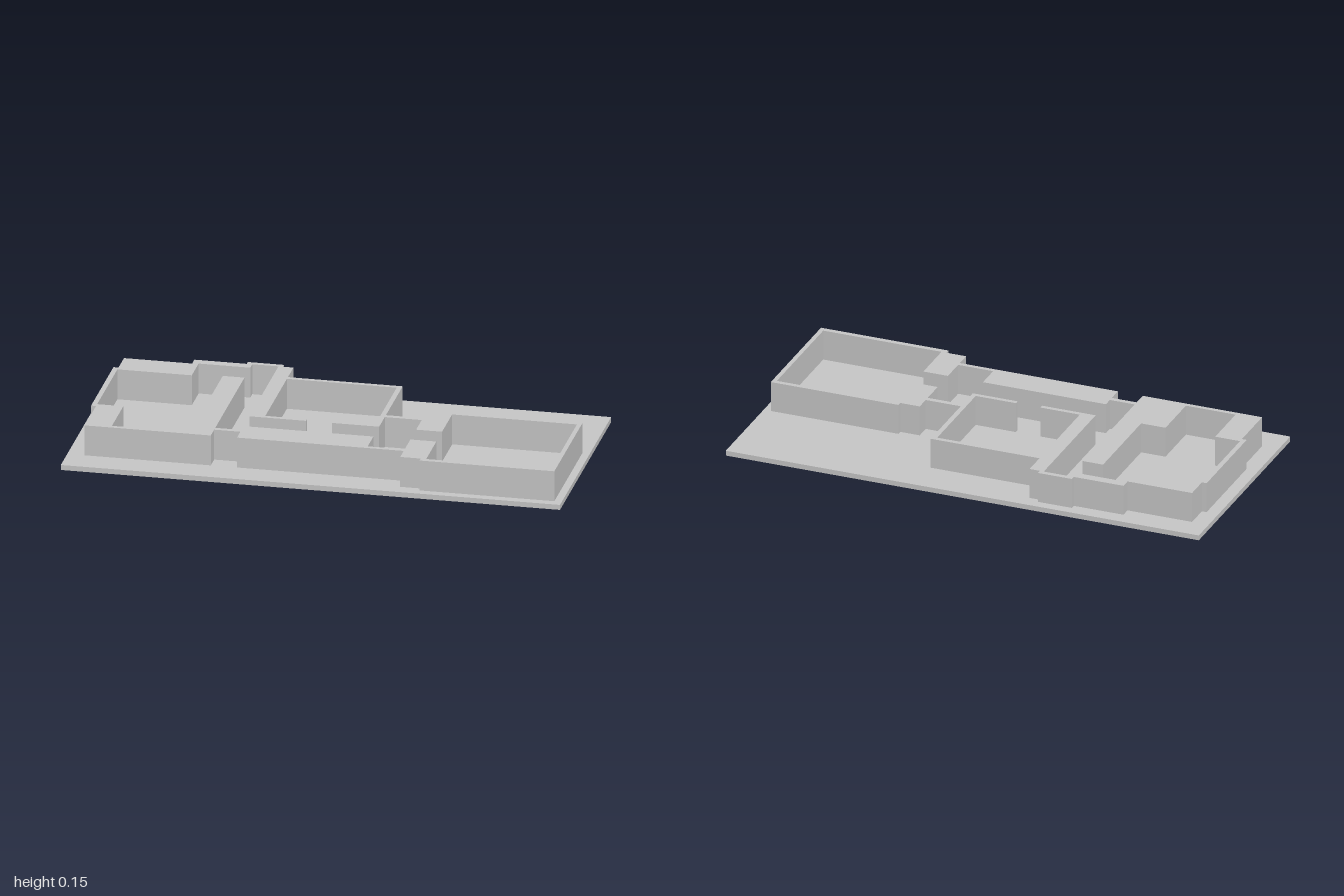
import * as THREE from 'three';

const BASE_HEIGHT = 0.021;
const WALL_TOP = 0.147;

// Corners are given as [x, z], clockwise seen from above
const OUTER = [
  [-0.93, -0.373], [-0.657, -0.373], [-0.657, -0.415], [-0.447, -0.415], [-0.447, -0.435],
  [-0.303, -0.435], [-0.303, -0.415], [-0.26, -0.415], [-0.26, -0.312], [0.2, -0.312],
  [0.2, 0], [0.348, 0], [0.348, -0.062], [0.43, -0.062], [0.43, -0.081],
  [0.97, -0.081], [0.97, 0.441], [0.43, 0.441], [0.43, 0.42], [0.348, 0.42],
  [0.348, 0.355], [-0.32, 0.355], [-0.32, 0.292], [-0.425, 0.292], [-0.425, 0.355],
  [-0.93, 0.355], [-0.93, 0.145], [-0.95, 0.145], [-0.95, -0.271], [-0.93, -0.271],
];

// Joined rooms and corridors
const INNER = [
  // left room and back recess
  [-0.93, -0.251], [-0.632, -0.251], [-0.632, -0.378], [-0.425, -0.378], [-0.425, -0.415],
  [-0.32, -0.415], [-0.32, 0.125],
  // middle room with doorway
  [-0.093, 0.125], [-0.093, 0.107], [-0.26, 0.107], [-0.26, -0.293], [0.18, -0.293],
  [0.18, 0.107], [0.01, 0.107], [0.01, 0.125], [0.2, 0.125],
  // passage and right room
  [0.2, 0.021], [0.348, 0.021], [0.348, 0.125], [0.452, 0.125], [0.452, -0.062],
  [0.952, -0.062], [0.952, 0.42], [0.452, 0.42], [0.452, 0.231], [0.348, 0.231],
  [0.348, 0.337], [0.2, 0.337], [0.2, 0.231],
  // front corridor, partition and front alcove
  [-0.32, 0.231], [-0.32, 0.272], [-0.425, 0.272], [-0.425, -0.271], [-0.512, -0.271],
  [-0.512, 0.125], [-0.615, 0.125], [-0.615, 0.337], [-0.825, 0.337], [-0.825, 0.125],
  [-0.93, 0.125],
];

// Counter-clockwise points, so that room walls face into the rooms
const toPoints = (corners) => corners.map(([x, z]) => new THREE.Vector2(x, -z)).reverse();

export function createModel() {
  const model = new THREE.Group();
  model.name = 'floorPlan';
  const grey = new THREE.MeshStandardMaterial({ color: 0xc8c8c8 });
  grey.name = 'plainGrey';

  // Ground slab
  const base = new THREE.Mesh(new THREE.BoxGeometry(2, BASE_HEIGHT, 0.95), grey);
  base.name = 'baseSlab';
  base.position.y = BASE_HEIGHT / 2;
  model.add(base);

  // Walls: outer footprint with the rooms cut out
  const plan = new THREE.Shape(toPoints(OUTER));
  plan.holes.push(new THREE.Path(toPoints(INNER)));
  const wallGeometry = new THREE.ExtrudeGeometry(plan, {
    depth: WALL_TOP - BASE_HEIGHT,
    bevelEnabled: false,
  });
  wallGeometry.rotateX(-Math.PI / 2);
  const walls = new THREE.Mesh(wallGeometry, grey);
  walls.name = 'walls';
  walls.position.y = BASE_HEIGHT;
  model.add(walls);

  return model;
}
